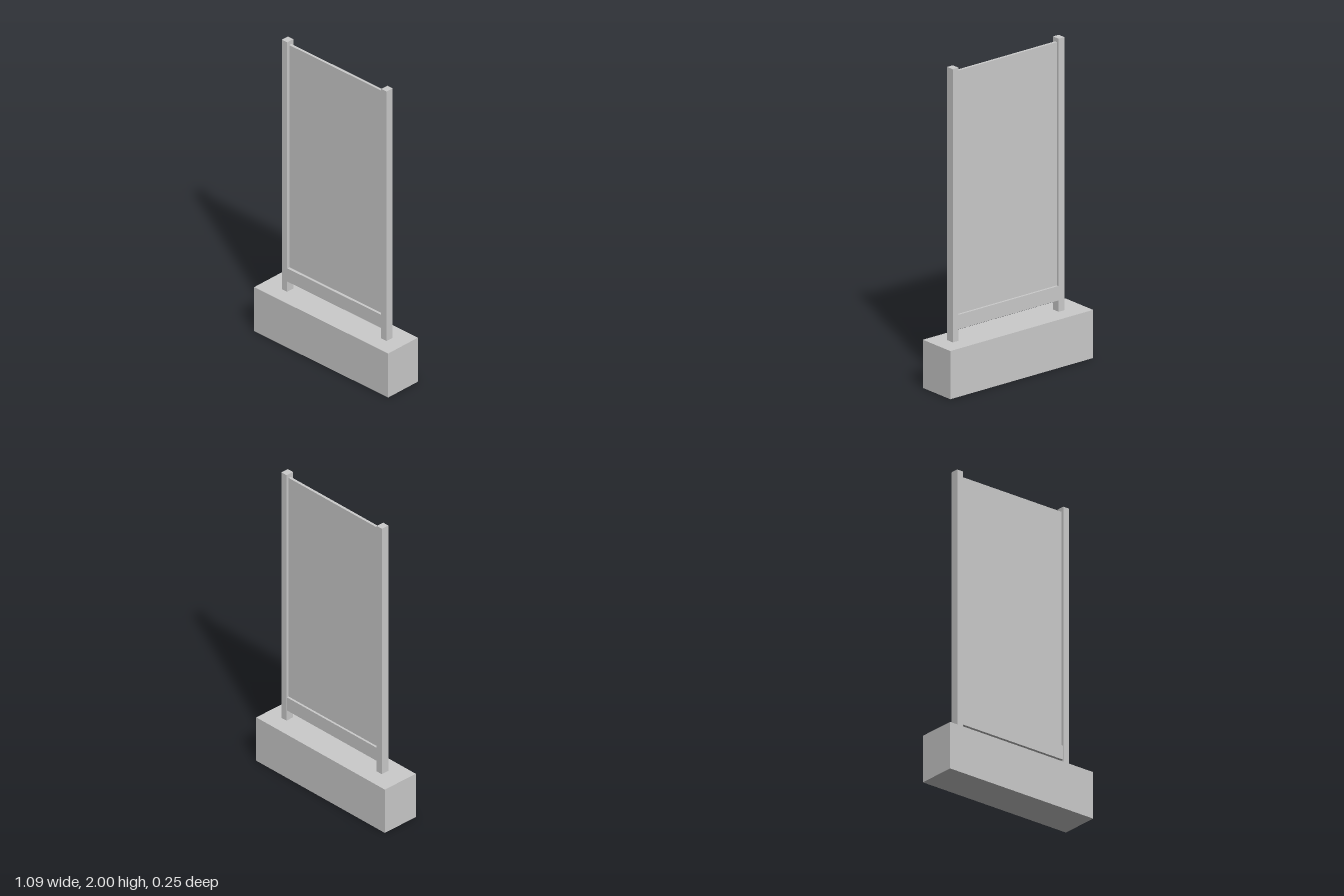
import * as THREE from 'three';

const material = new THREE.MeshStandardMaterial({ color: 0xcccccc, flatShading: true });

// Box given by its lower and upper corner
function block(name, min, max) {
  const size = max.map((v, i) => v - min[i]);
  const mesh = new THREE.Mesh(new THREE.BoxGeometry(...size), material);
  mesh.position.set(...max.map((v, i) => (v + min[i]) / 2));
  mesh.name = name;
  return mesh;
}

export function createModel() {
  const group = new THREE.Group();
  group.name = 'freestandingPanel';

  // Heavy plinth
  group.add(block('base', [-0.543, 0, -0.125], [0.543, 0.3, 0.125]));

  // Two square posts standing on the plinth, slightly off its centre
  const centreX = 0.014, inner = 0.381, outer = 0.424;
  for (const [name, side] of [['rightPost', -1], ['leftPost', 1]]) {
    const xs = [centreX + side * inner, centreX + side * outer].sort((a, b) => a - b);
    group.add(block(name, [xs[0], 0.3, -0.022], [xs[1], 2, 0.03]));
  }

  // Lower rail between the posts
  group.add(block('bottomRail', [centreX - inner, 0.37, -0.019], [centreX + inner, 0.46, 0.029]));

  // Thin recessed panel above the rail
  group.add(block('panel', [centreX - inner, 0.46, -0.005], [centreX + inner, 1.974, 0.012]));

  return group;
}
